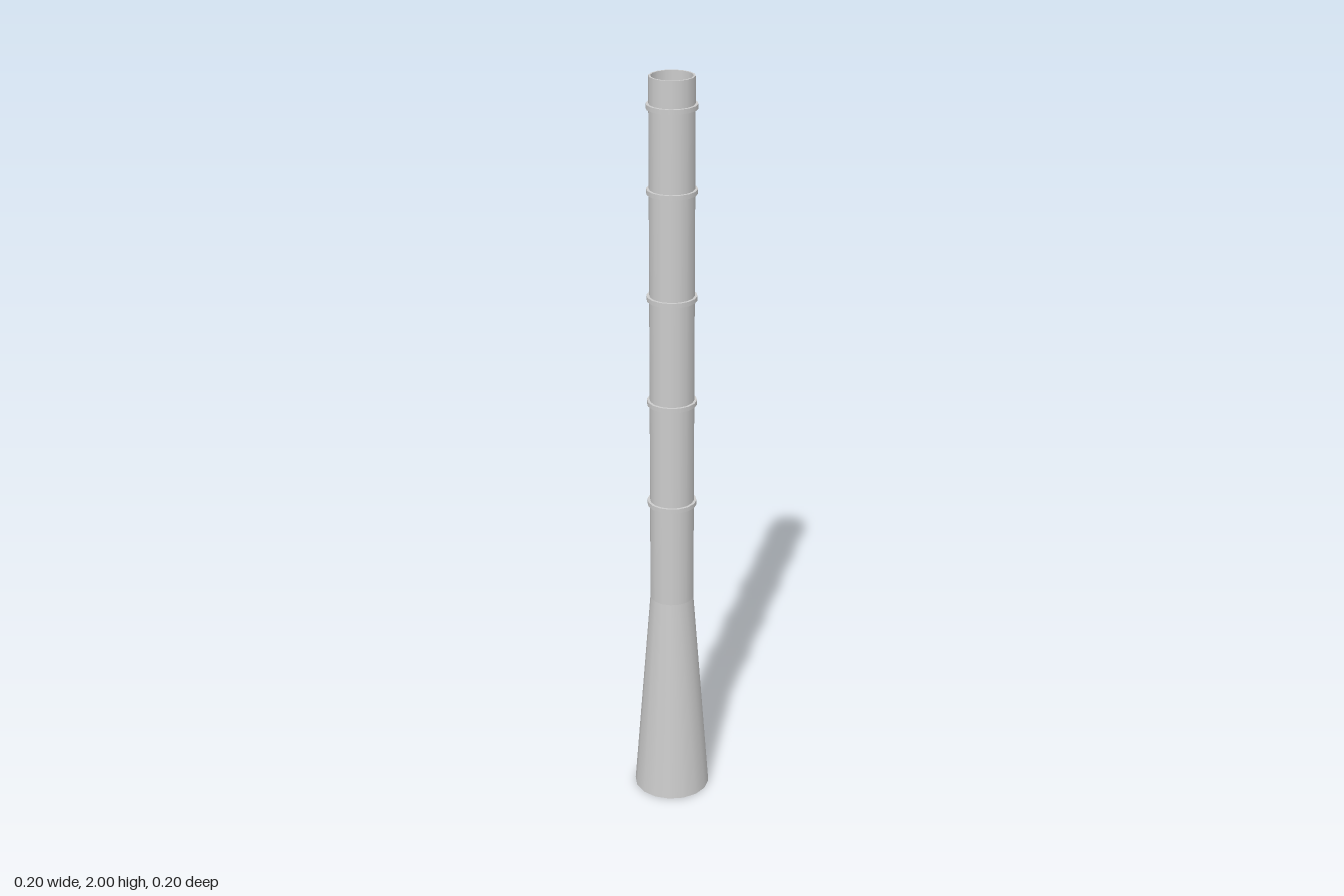
import * as THREE from 'three';
import { mergeGeometries } from 'three/addons/utils/BufferGeometryUtils.js';

const SIDES = 16;
const material = new THREE.MeshStandardMaterial({ color: 0xcccccc, side: THREE.DoubleSide });

// Turns a profile of [radius, height] points, keeping each corner sharp.
function turned(name, profile) {
  const bands = [];
  for (let i = 0; i < profile.length - 1; i++) {
    const ends = [profile[i], profile[i + 1]].map(([r, y]) => new THREE.Vector2(r, y));
    bands.push(new THREE.LatheGeometry(ends, SIDES));
  }
  const mesh = new THREE.Mesh(mergeGeometries(bands), material);
  mesh.name = name;
  return mesh;
}

export function createModel() {
  const group = new THREE.Group();
  group.name = 'tower';

  const baseR = 0.102, tubeR = 0.058, boreR = 0.053, bandR = 0.065;
  const neckY = 0.58, topY = 2, bandH = 0.012;

  // Flared foot with a closed underside
  group.add(turned('flaredBase', [[0, 0], [baseR, 0], [tubeR, neckY]]));

  // Straight hollow shaft: outer wall, rim, bore
  group.add(turned('shaft', [[tubeR, neckY], [tubeR, topY], [boreR, topY], [boreR, 0.01], [0, 0.01]]));

  // Thin raised bands around the shaft
  for (const y of [0.86, 1.145, 1.43, 1.71, 1.925]) {
    const lo = y - bandH / 2, hi = y + bandH / 2;
    group.add(turned('band', [[tubeR, lo], [bandR, lo], [bandR, hi], [tubeR, hi]]));
  }
  return group;
}
